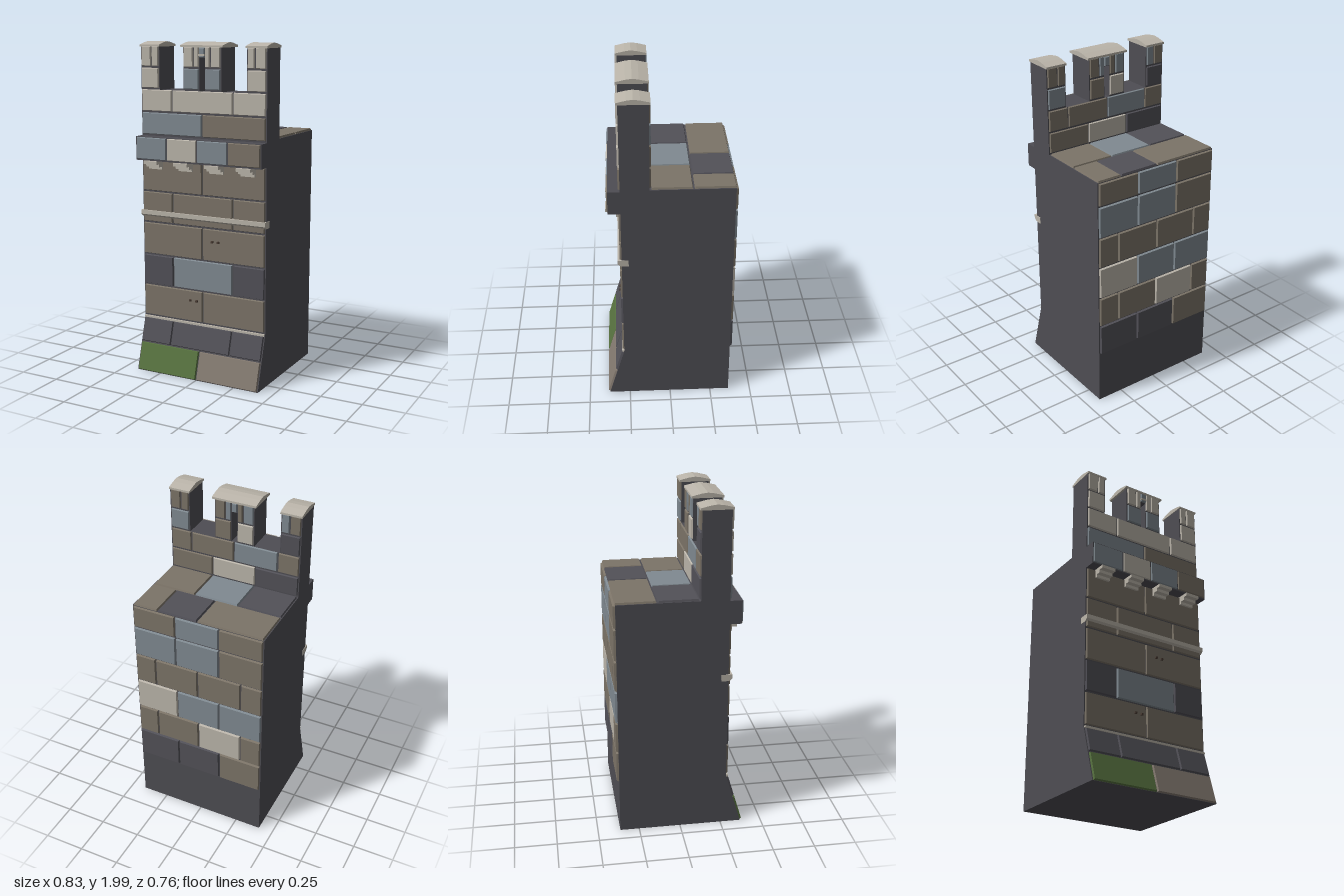
import * as THREE from 'three';

const mat = (name, color) => Object.assign(new THREE.MeshStandardMaterial({ color }), { name });

export function createModel() {
  const M = {
    m: mat('mortar', 0x4e4d53),
    d: mat('dark stone', 0x525158),
    n: mat('brown stone', 0x7c7468),
    b: mat('blue grey stone', 0x808a91),
    l: mat('pale stone', 0xbbb5aa),
    g: mat('mossy stone', 0x587340),
    f: mat('foot stone', 0x847a70),
    k: mat('peg', 0x4a3c34),
  };
  const model = new THREE.Group();
  model.name = 'castleWall';

  const add = (parent, name, geo, material) => {
    const mesh = new THREE.Mesh(geo, material);
    mesh.name = name;
    parent.add(mesh);
    return mesh;
  };
  const box = (parent, name, material, x0, x1, y0, y1, z0, z1) => {
    const mesh = add(parent, name, new THREE.BoxGeometry(x1 - x0, y1 - y0, z1 - z0), material);
    mesh.position.set((x0 + x1) / 2, (y0 + y1) / 2, (z0 + z1) / 2);
    return mesh;
  };
  // Side outline in (z, y), extruded across x
  const profile = (parent, name, material, points, x0, x1) => {
    const shape = new THREE.Shape(points.map(p => new THREE.Vector2(...p)));
    const geo = new THREE.ExtrudeGeometry(shape, { depth: x1 - x0, bevelEnabled: false });
    geo.rotateY(-Math.PI / 2).translate(x1, 0, 0);
    return add(parent, name, geo, material);
  };

  // Brick with a chamfered outer face, back at z = 0
  const brick = (w, h, depth) => {
    const geo = new THREE.BoxGeometry(w, h, depth).translate(0, 0, depth / 2);
    const p = geo.attributes.position;
    for (let i = 0; i < p.count; i++) {
      if (p.getZ(i) < depth * 0.9) continue;
      p.setX(i, p.getX(i) - Math.sign(p.getX(i)) * 0.004);
      p.setY(i, p.getY(i) - Math.sign(p.getY(i)) * 0.004);
    }
    geo.computeVertexNormals();
    return geo;
  };
  // Row of bricks between the given splits; colours is one letter per brick
  const course = (parent, name, splits, colours, v0, v1, depth = 0.011) => {
    [...colours].forEach((c, i) => {
      const a = splits[i] + 0.003, b = splits[i + 1] - 0.003;
      const mesh = add(parent, name, brick(b - a, v1 - v0, depth), M[c]);
      mesh.position.set((a + b) / 2, (v0 + v1) / 2, 0);
    });
  };
  const face = (name, z, rotX = 0, rotY = 0, y = 0) => {
    const g = new THREE.Group();
    g.name = name;
    g.position.set(0, y, z);
    g.rotation.set(rotX, rotY, 0);
    model.add(g);
    return g;
  };

  // Solid body with sloping foot, projecting course and parapet
  profile(model, 'core', M.m, [
    [-0.365, 0.01], [0.375, 0.01], [0.28, 0.335], [0.28, 1.31], [0.35, 1.31], [0.35, 1.45],
    [0.28, 1.45], [0.28, 1.72], [0.115, 1.72], [0.115, 1.457], [-0.365, 1.457],
  ], -0.41, 0.41);

  const E = 0.407;
  const half = [-E, 0, E], wide = [-E, -0.2, 0.2, E], quarter = [-E, -0.2, 0, 0.2, E];

  // Front courses
  const front = face('frontBricks', 0.28);
  course(front, 'frontBrick', half, 'nn', 0.345, 0.533);
  course(front, 'frontBrick', wide, 'dbd', 0.542, 0.723);
  course(front, 'frontBrick', half, 'nn', 0.732, 0.922);
  course(front, 'frontBrick', wide, 'nnn', 0.932, 1.112);
  course(front, 'frontBrick', half, 'nn', 1.121, 1.307);
  course(front, 'frontBrick', half, 'bn', 1.46, 1.587);
  course(front, 'parapetBrick', wide, 'lll', 1.597, 1.722);
  course(face('projectingBricks', 0.35), 'projectingBrick', quarter, 'blbn', 1.318, 1.447, 0.007);

  // Sloping foot courses
  const foot = face('footBricks', 0.375, -Math.atan2(0.095, 0.325), 0, 0.01);
  course(foot, 'footBrick', half, 'gf', 0.002, 0.172);
  course(foot, 'footBrick', wide, 'ddd', 0.18, 0.324);

  // Trim: foot ledge and string band
  box(model, 'footLedge', M.l, -E, E, 0.324, 0.336, 0.27, 0.293);
  profile(model, 'stringBand', M.l, [
    [0.24, 0.96], [0.285, 0.96], [0.303, 0.975], [0.303, 1.0], [0.24, 1.0],
  ], -0.413, 0.413);

  // Stepped corbels under the projecting course
  for (const x of [-0.307, -0.104, 0.1, 0.303]) {
    profile(model, 'corbel', M.l, [
      [0.27, 1.255], [0.305, 1.255], [0.305, 1.272], [0.335, 1.272], [0.335, 1.29],
      [0.365, 1.29], [0.365, 1.309], [0.27, 1.309],
    ], x - 0.045, x + 0.045);
  }

  // Small pegs
  for (const [x, y] of [[-0.08, 0.475], [-0.037, 0.475], [0.07, 0.85], [0.11, 0.85]]) {
    box(model, 'peg', M.k, x - 0.006, x + 0.006, y - 0.006, y + 0.006, 0.28, 0.303);
  }

  // Rear courses; the face is turned, so splits run from +x to -x
  const thirds = [-E, -0.137, 0.137, E], offset = [-E, -0.275, 0, 0.275, E];
  const back = face('backBricks', -0.365, 0, Math.PI);
  course(back, 'backBrick', thirds, 'ddn', 0.345, 0.533, 0.013);
  course(back, 'backBrick', offset, 'nnln', 0.542, 0.723, 0.013);
  course(back, 'backBrick', thirds, 'lbb', 0.732, 0.922, 0.013);
  course(back, 'backBrick', offset, 'nnnn', 0.932, 1.112, 0.013);
  course(back, 'backBrick', thirds, 'bbn', 1.121, 1.307, 0.013);
  course(back, 'backBrick', thirds, 'nbn', 1.318, 1.452, 0.013);

  // Walkway slabs
  const walk = face('walkway', 0, -Math.PI / 2, 0, 1.457);
  course(walk, 'slab', [-E, 0, 0.25, E], 'ndn', 0.134, 0.367, 0.011);
  course(walk, 'slab', thirds, 'dbn', -0.105, 0.125, 0.011);

  // Inner face of the parapet and merlons
  const inner = face('innerBricks', 0.115, 0, Math.PI);
  course(inner, 'innerBrick', thirds, 'nld', 1.468, 1.587, 0.009);
  course(inner, 'innerBrick', offset, 'nnbn', 1.597, 1.72, 0.009);
  course(inner, 'innerBrick', [-E, -0.287], 'b', 1.73, 1.848, 0.009);
  course(inner, 'innerBrick', [-E, -0.34, -0.287], 'nn', 1.858, 1.972, 0.009);
  course(inner, 'innerBrick', [0.287, E], 'd', 1.73, 1.848, 0.009);
  course(inner, 'innerBrick', [0.287, 0.34, E], 'bn', 1.858, 1.972, 0.009);
  course(inner, 'innerBrick', [-0.122, -0.018], 'n', 1.73, 1.848, 0.009);
  course(inner, 'innerBrick', [0.018, 0.122], 'l', 1.73, 1.848, 0.009);
  course(inner, 'innerBrick', [-0.122, -0.055, -0.018], 'nb', 1.858, 1.972, 0.009);
  course(inner, 'innerBrick', [0.018, 0.055, 0.122], 'nb', 1.858, 1.972, 0.009);
  course(inner, 'innerBrick', [-0.02, 0.02], 'b', 1.912, 1.968, 0.009);

  // Merlons with arched caps; the middle one has a slit
  const cap = (x0, x1) => profile(model, 'merlonCap', M.l, [
    [0.105, 1.97], [0.291, 1.97], [0.291, 1.982], [0.235, 1.995], [0.198, 2.0], [0.16, 1.995], [0.105, 1.982],
  ], x0, x1);
  for (const s of [-1, 1]) {
    const span = (a, b) => (s > 0 ? [a, b] : [-b, -a]);
    box(model, 'endMerlon', M.m, ...span(0.285, 0.41), 1.715, 1.972, 0.115, 0.28);
    box(model, 'middleMerlonPier', M.m, ...span(0.018, 0.124), 1.715, 1.972, 0.115, 0.28);
    cap(...span(0.281, 0.412));
    const split = (a, b, c) => (s > 0 ? [a, b, c] : [-c, -b, -a]);
    course(front, 'merlonBrick', span(0.287, E), 'l', 1.732, 1.848);
    course(front, 'merlonBrick', split(0.287, 0.337, E), 'll', 1.858, 1.972);
    course(front, 'merlonBrick', span(0.018, 0.122), 'b', 1.732, 1.848);
    course(front, 'merlonBrick', split(0.018, 0.055, 0.122), 'll', 1.858, 1.972);
  }
  box(model, 'slitLintel', M.m, -0.018, 0.018, 1.91, 1.972, 0.115, 0.28);
  course(front, 'lintelBrick', [-0.022, 0.022], 'b', 1.912, 1.968);
  box(model, 'lintelTrim', M.l, -0.02, 0.02, 1.922, 1.934, 0.28, 0.294);
  cap(-0.137, 0.137);

  return model;
}
